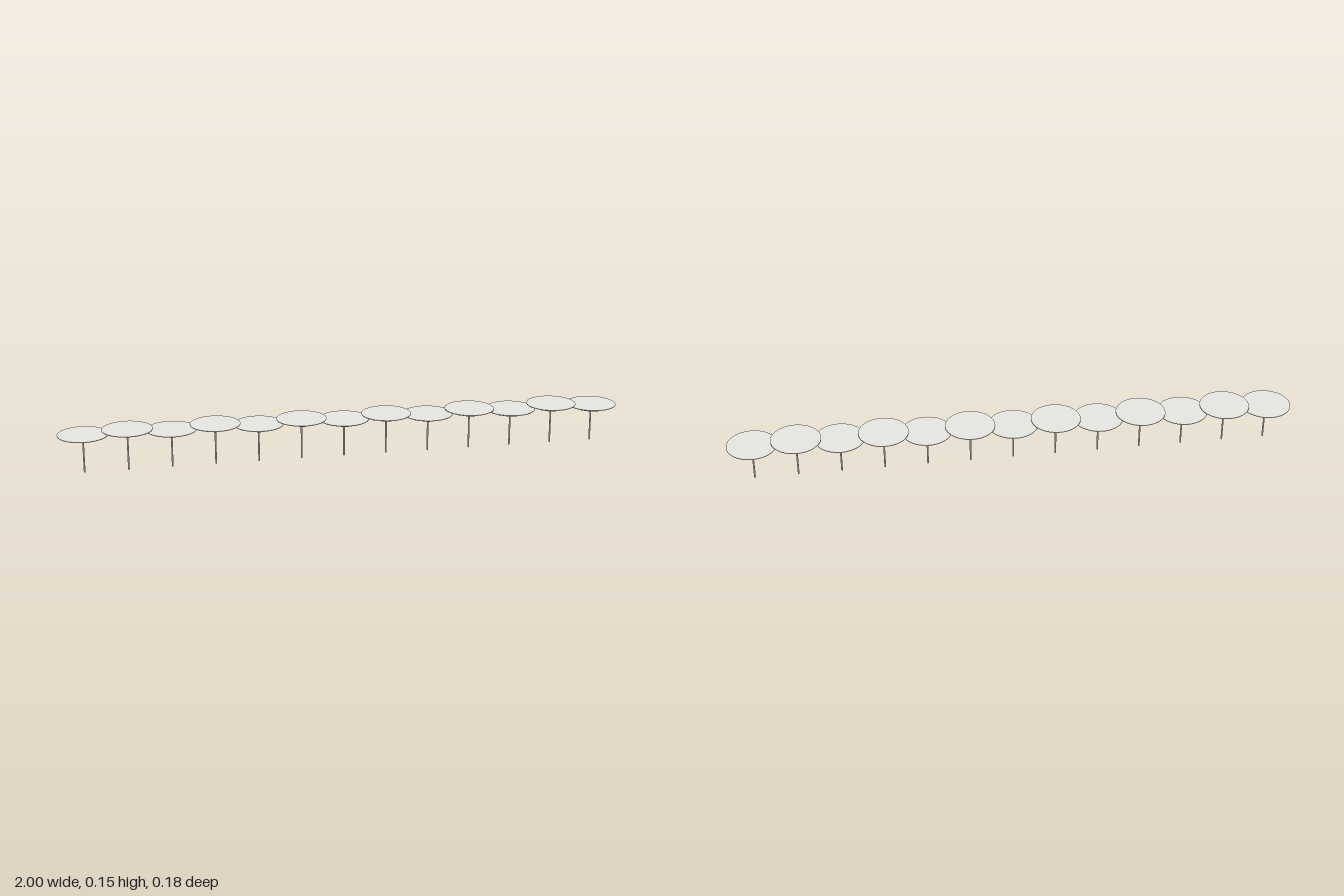
import * as THREE from 'three';

const COUNT = 13, SPACING = 0.152, RADIUS = 0.088, STRUTS = 8;

export function createModel() {
  const model = new THREE.Group();
  model.name = 'parasolRow';

  const mat = (name, color) => {
    const m = new THREE.MeshStandardMaterial({ color });
    m.name = name;
    return m;
  };
  const canopyWhite = mat('canopyWhite', 0xe9e9e3);
  const undersideGrey = mat('undersideGrey', 0xbebebc);

  const add = (parent, name, geometry, material) => {
    const mesh = new THREE.Mesh(geometry, material);
    mesh.name = name;
    parent.add(mesh);
  };

  // Thin cylinder running between two points
  const rod = (a, b, r) => {
    const dir = b.clone().sub(a);
    const g = new THREE.CylinderGeometry(r, r, dir.length(), 6);
    g.applyQuaternion(new THREE.Quaternion().setFromUnitVectors(
      new THREE.Vector3(0, 1, 0), dir.normalize()));
    const mid = a.clone().add(b).multiplyScalar(0.5);
    return g.translate(mid.x, mid.y, mid.z);
  };

  // One parasol whose flat top sits at the given height
  const parasol = (top) => {
    const group = new THREE.Group();
    const rim = top - 0.002;

    // Flat disc on top with a grey rim and underside
    const disc = new THREE.CylinderGeometry(RADIUS, RADIUS, 0.002, 48);
    disc.translate(0, top - 0.001, 0);
    add(group, 'canopy', disc, [undersideGrey, canopyWhite, undersideGrey]);

    // Shallow inverted cone below the disc
    const under = new THREE.CylinderGeometry(0.078, 0.003, 0.018, 48, 1, true);
    under.translate(0, rim - 0.009, 0);
    add(group, 'canopyUnderside', under, undersideGrey);

    // Struts fanning out from the pole to the rim
    const hub = new THREE.Vector3(0, top - 0.032, 0);
    for (let i = 0; i < STRUTS; i++) {
      const a = (i / STRUTS) * Math.PI * 2;
      const end = new THREE.Vector3(
        Math.cos(a) * (RADIUS - 0.002), rim - 0.0005, Math.sin(a) * (RADIUS - 0.002));
      add(group, 'strut', rod(hub, end, 0.001), undersideGrey);
    }

    // Pole standing on the ground
    const pole = new THREE.CylinderGeometry(0.003, 0.003, rim, 12);
    pole.translate(0, rim / 2, 0);
    add(group, 'pole', pole, canopyWhite);
    return group;
  };

  // Row of parasols alternating between low and high
  for (let i = 0; i < COUNT; i++) {
    const p = parasol(i % 2 ? 0.148 : 0.138);
    p.name = i % 2 ? 'highParasol' : 'lowParasol';
    p.position.x = (i - (COUNT - 1) / 2) * SPACING;
    model.add(p);
  }
  return model;
}
